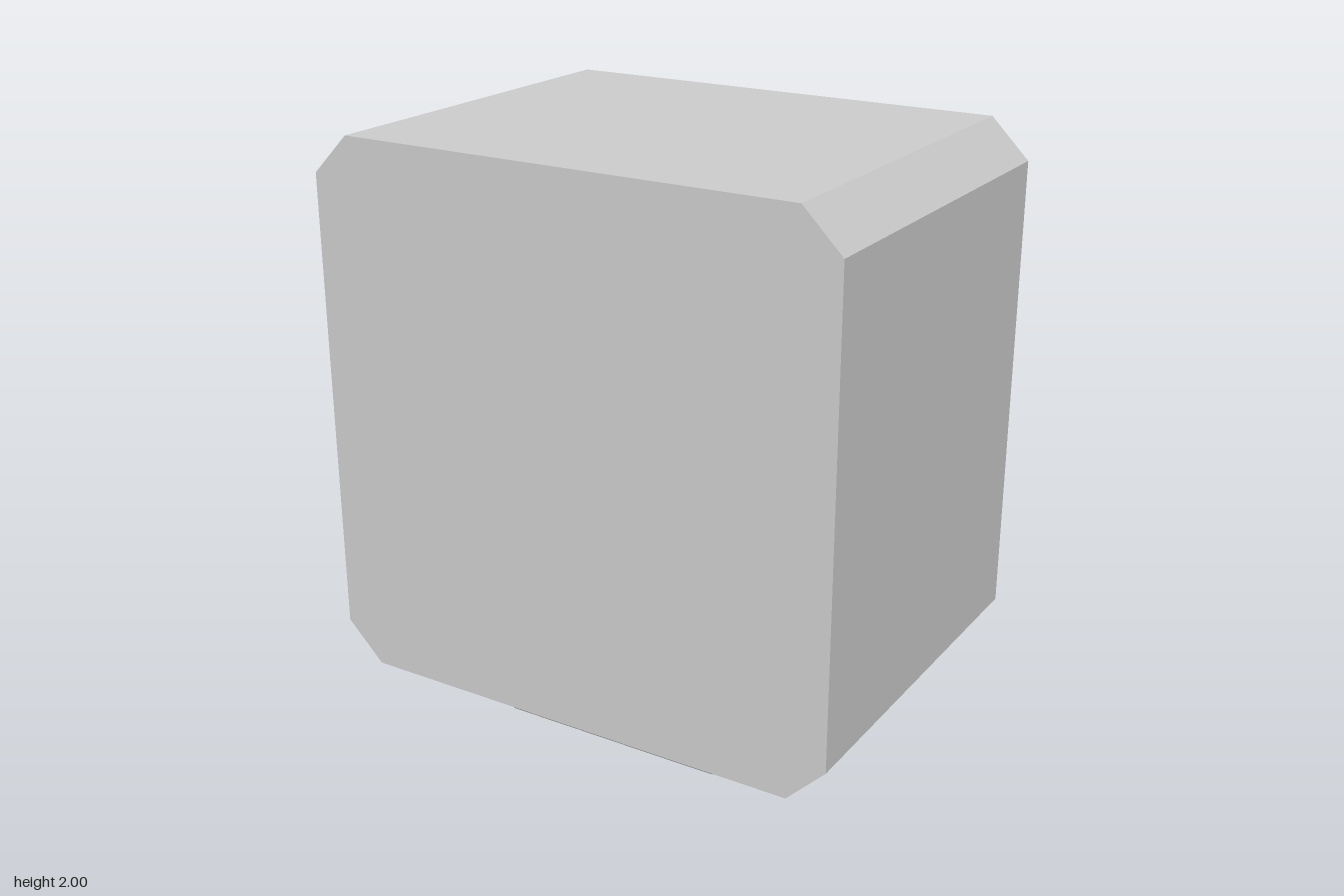
import * as THREE from 'three';

const BASE = 0.185, TOP = 2, HALF_W = 0.91, DEPTH = 1.3, CHAMFER = 0.13;
const TUBE_R = 0.052, BEND_R = 0.133, BEND_X = 0.387, BEND_STEPS = 4;

// U-shaped runner path: quarter bend, straight bar, quarter bend
class RunnerCurve extends THREE.Curve {
  getPoint(t, target = new THREE.Vector3()) {
    const u = t * (2 * BEND_STEPS + 1);
    if (u > BEND_STEPS && u < BEND_STEPS + 1) {
      return target.set(THREE.MathUtils.lerp(-BEND_X, BEND_X, u - BEND_STEPS), BASE - BEND_R, 0);
    }
    const right = u > BEND_STEPS;
    const step = right ? u - 1 : u;
    const a = Math.PI + (step / BEND_STEPS) * Math.PI / 2;
    return target.set((right ? BEND_X : -BEND_X) + BEND_R * Math.cos(a), BASE + BEND_R * Math.sin(a), 0);
  }
  // Keep one ring per bend step rather than spacing evenly by length
  getPointAt(t, target) { return this.getPoint(t, target); }
  getTangentAt(t, target) { return this.getTangent(t, target); }
}

export function createModel() {
  const model = new THREE.Group();
  model.name = 'chamferedBoxOnRunners';

  // Box body with chamfered long edges
  const w = HALF_W, c = CHAMFER;
  const outline = new THREE.Shape([
    [-w + c, BASE], [w - c, BASE], [w, BASE + c], [w, TOP - c],
    [w - c, TOP], [-w + c, TOP], [-w, TOP - c], [-w, BASE + c],
  ].map(([x, y]) => new THREE.Vector2(x, y)));
  const bodyGeometry = new THREE.ExtrudeGeometry(outline, { depth: DEPTH, bevelEnabled: false });
  bodyGeometry.translate(0, 0, -DEPTH / 2);
  const body = new THREE.Mesh(bodyGeometry,
    new THREE.MeshStandardMaterial({ color: 0xcccccc, flatShading: true }));
  body.name = 'body';
  model.add(body);

  // Two bent-tube runners underneath
  const runnerGeometry = new THREE.TubeGeometry(new RunnerCurve(), 2 * BEND_STEPS + 1, TUBE_R, 16);
  const runnerMaterial = new THREE.MeshStandardMaterial({ color: 0xcccccc });
  for (const [name, z] of [['frontRunner', 0.39], ['backRunner', -0.39]]) {
    const runner = new THREE.Mesh(runnerGeometry, runnerMaterial);
    runner.name = name;
    runner.position.z = z;
    model.add(runner);
  }
  return model;
}
